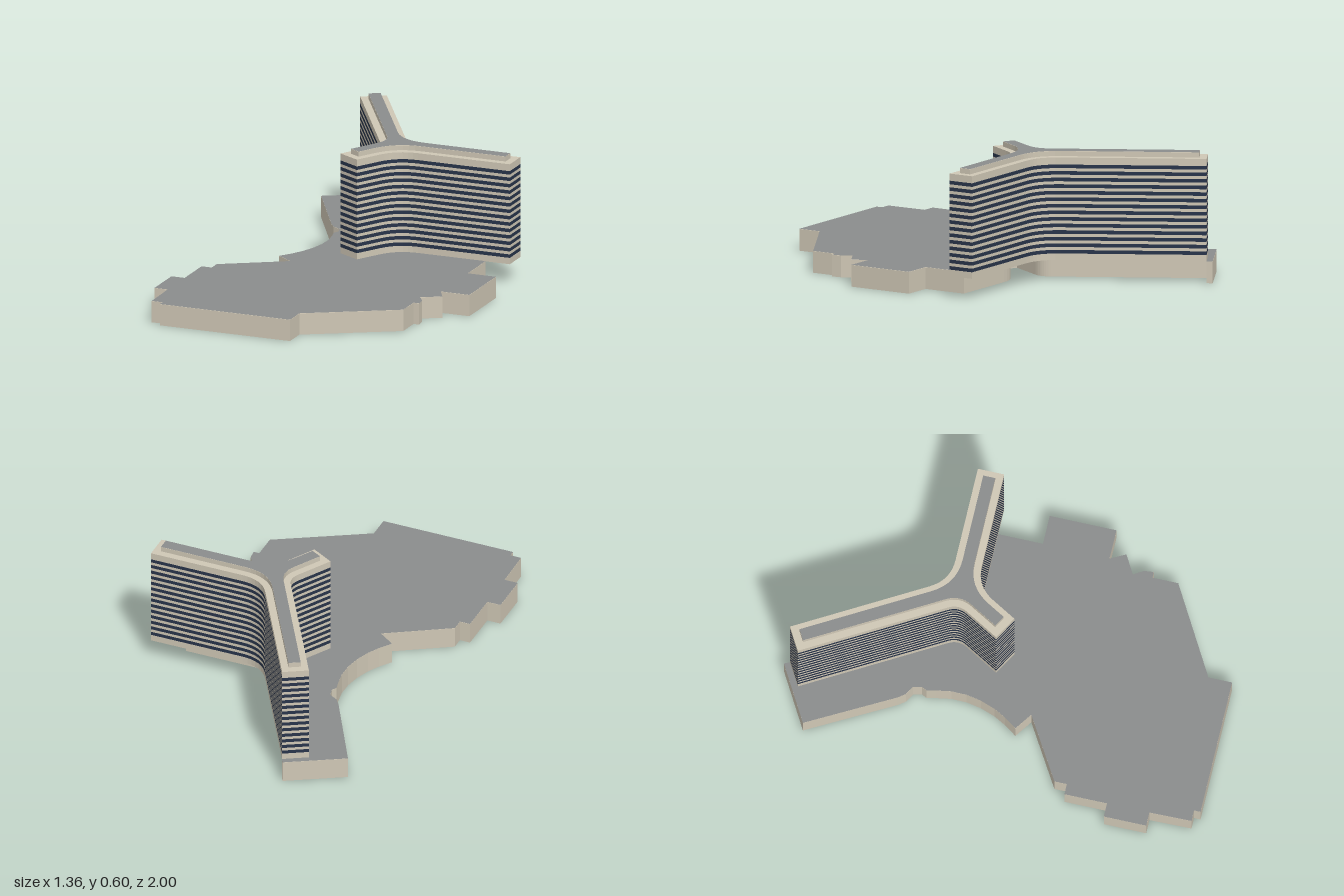
import * as THREE from 'three';

const cream = new THREE.MeshStandardMaterial({ name: 'cream concrete', color: 0xcfc7b5 });
const gray = new THREE.MeshStandardMaterial({ name: 'gray roofing', color: 0x8a8c8c });
const glass = new THREE.MeshStandardMaterial({ name: 'dark window glass', color: 0x28344a });

const CENTER = new THREE.Vector2(0.0725, 0.254); // plan coordinates: x, -z
const FILLET_STEPS = 8;
// wings in clockwise order: angle, length, fillet length to the next wing
const WINGS = [
  { angle: 0, length: 0.587, fillet: 0.1 },
  { angle: 240, length: 0.267, fillet: 0.05 },
  { angle: 120, length: 0.797, fillet: 0.1 },
];

// Three-winged plan with rounded inner corners
function wingOutline(half, inset) {
  const at = (deg, r) => new THREE.Vector2(
    Math.cos(THREE.MathUtils.degToRad(deg)) * r, Math.sin(THREE.MathUtils.degToRad(deg)) * r);
  const pts = [];
  for (const { angle, length, fillet } of WINGS) {
    const tip = at(angle, length - inset).add(CENTER);
    pts.push(tip.clone().add(at(angle + 90, half)), tip.clone().add(at(angle - 90, half)));
    const t = fillet + inset * 0.577;
    const corner = at(angle - 60, half / Math.sin(Math.PI / 3)).add(CENTER);
    const curve = new THREE.QuadraticBezierCurve(
      corner.clone().add(at(angle, t)), corner, corner.clone().add(at(angle - 120, t)));
    pts.push(...curve.getPoints(FILLET_STEPS));
  }
  return pts;
}

// Vertical prism on a plan outline
function prism(name, pts, y0, y1, material) {
  const geo = new THREE.ExtrudeGeometry(new THREE.Shape(pts), { depth: y1 - y0, bevelEnabled: false });
  geo.rotateX(-Math.PI / 2).translate(0, y0, 0);
  const mesh = new THREE.Mesh(geo, material);
  mesh.name = name;
  return mesh;
}

// Flat covering just above a prism
function covering(name, pts, y) {
  const geo = new THREE.ShapeGeometry(new THREE.Shape(pts));
  geo.rotateX(-Math.PI / 2).translate(0, y + 0.001, 0);
  const mesh = new THREE.Mesh(geo, gray);
  mesh.name = name;
  return mesh;
}

export function createModel() {
  const model = new THREE.Group();
  model.name = 'building';
  const plan = wingOutline(0.061, 0);

  // Podium: outer edge as x, z, closed by the edge of the tower plan
  const edge = [
    [-0.285, -1], [-0.545, -0.852], [-0.33, -0.462], [-0.305, -0.428], [-0.265, -0.405],
    [-0.255, -0.365], [-0.267, -0.34], [-0.258, -0.3], [-0.246, -0.23], [-0.247, -0.16],
    [-0.26, -0.09], [-0.285, -0.02], [-0.315, 0.035], [-0.355, 0.092], [-0.275, 0.148],
    [-0.565, 0.322], [-0.565, 0.38], [-0.615, 0.38], [-0.615, 0.578], [-0.68, 0.578],
    [-0.68, 0.775], [-0.615, 0.775], [-0.612, 0.97], [-0.56, 0.97], [-0.56, 1],
    [0.08, 1], [0.08, 0.89], [0.492, 0.655], [0.492, 0.535], [0.52, 0.535],
    [0.515, 0.49], [0.487, 0.445], [0.575, 0.395], [0.538, 0.325], [0.678, 0.325],
    [0.678, 0.015], [0.54, 0.015], [0.54, -0.193],
  ].map(([x, z]) => new THREE.Vector2(x, -z));
  const podiumPlan = [...edge, ...plan.slice(2, -(FILLET_STEPS + 1))];
  model.add(prism('podium', podiumPlan, 0, 0.1, cream));
  model.add(covering('podiumRoof', podiumPlan, 0.1));

  // Tower: alternating concrete and window bands
  const tower = new THREE.Group();
  tower.name = 'tower';
  const floors = 14, pitch = 0.0303, windowHeight = 0.0165, firstWindow = 0.13;
  let y = 0.1;
  for (let i = 0; i < floors; i++) {
    const sill = firstWindow + i * pitch;
    tower.add(prism('concreteBand', plan, y, sill, cream));
    y = sill + windowHeight;
    tower.add(prism('windowBand', plan, sill, y, glass));
  }
  tower.add(prism('parapet', plan, y, 0.573, cream));
  model.add(tower);

  // Raised roof slab
  const roofPlan = wingOutline(0.028, 0.035);
  model.add(prism('roofSlab', roofPlan, 0.573, 0.596, cream));
  model.add(covering('roofCovering', roofPlan, 0.596));
  return model;
}
